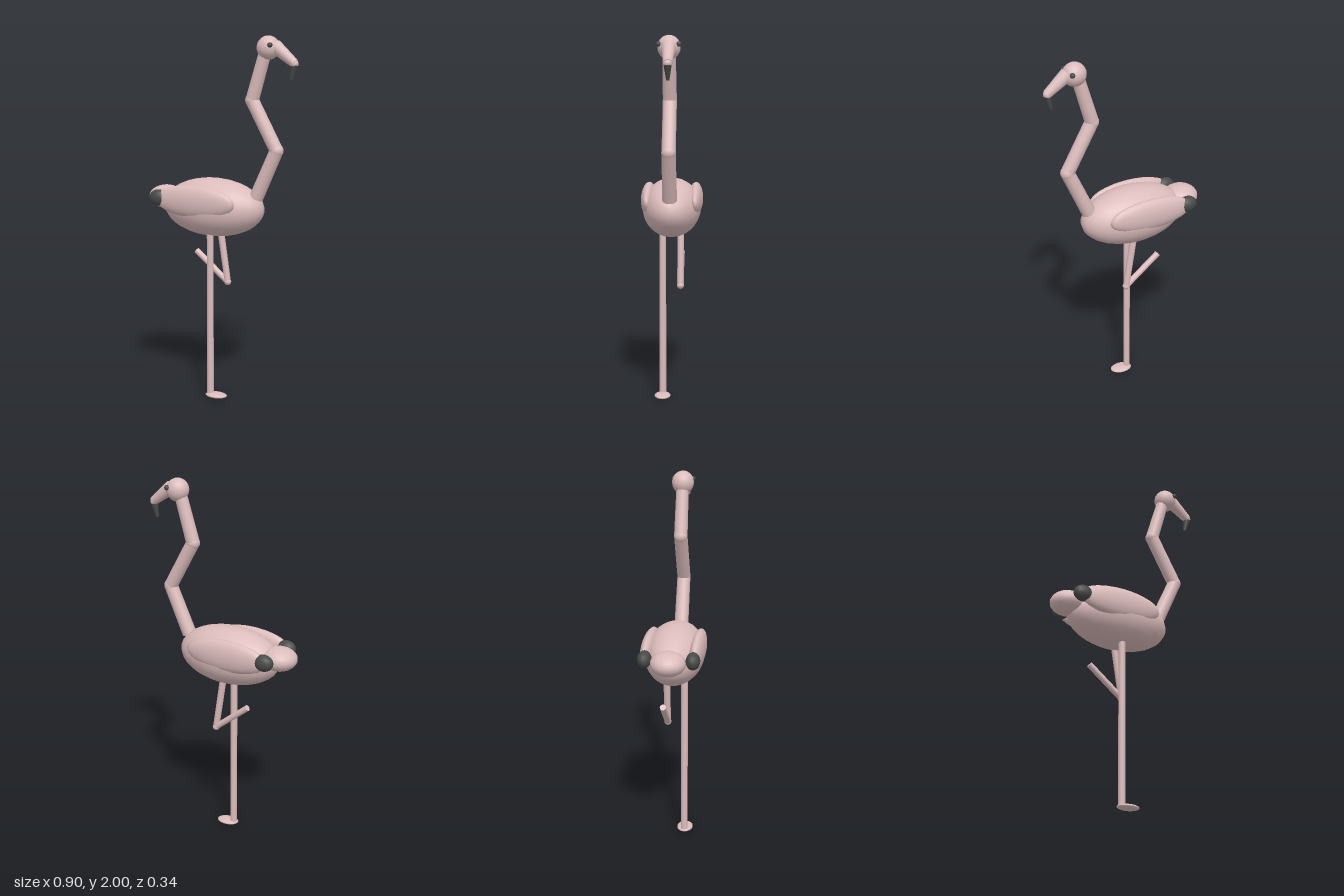
import * as THREE from 'three';

const pink = new THREE.MeshStandardMaterial({ color: 0xdcbcbc });
pink.name = 'palePink';
const dark = new THREE.MeshStandardMaterial({ color: 0x484a48 });
dark.name = 'charcoal';

export function createModel() {
  const bird = new THREE.Group();
  bird.name = 'wadingBird';

  function add(name, geometry, material) {
    const mesh = new THREE.Mesh(geometry, material);
    mesh.name = name;
    bird.add(mesh);
    return mesh;
  }

  // Ellipsoid with its own centre and radii
  function ellipsoid(name, center, radii, material = pink, segments = 20) {
    const geometry = new THREE.SphereGeometry(1, segments, Math.round(segments * 0.7));
    geometry.scale(...radii);
    return add(name, geometry.translate(...center), material);
  }

  // Tapered limb from point a to point b
  function limb(name, a, b, ra, rb, material = pink) {
    const start = new THREE.Vector3(...a);
    const end = new THREE.Vector3(...b);
    const dir = end.clone().sub(start);
    const mesh = add(name, new THREE.CylinderGeometry(rb, ra, dir.length(), 14), material);
    mesh.position.copy(start).lerp(end, 0.5);
    mesh.quaternion.setFromUnitVectors(new THREE.Vector3(0, 1, 0), dir.normalize());
    return mesh;
  }

  // Body and tail
  ellipsoid('body', [-0.05, 1.07, 0], [0.3, 0.16, 0.16], pink, 24);
  ellipsoid('tail', [-0.35, 1.105, 0], [0.1, 0.065, 0.094]);

  // Wings with dark tips, and eyes
  for (const side of [1, -1]) {
    const label = side > 0 ? 'front' : 'back';
    ellipsoid(label + 'Wing', [-0.1, 1.112, 0.13 * side], [0.245, 0.088, 0.041]);
    ellipsoid(label + 'WingTip', [-0.325, 1.117, 0.127 * side], [0.056, 0.046, 0.038], dark, 14);
    ellipsoid(label + 'Eye', [0.31, 1.953, 0.052 * side], [0.014, 0.014, 0.014], dark, 12);
  }

  // Bent neck
  const neck = [[0.21, 1.14, 0], [0.328, 1.4, 0], [0.183, 1.66, 0], [0.26, 1.92, 0]];
  const neckRadii = [0.039, 0.037, 0.037, 0.034];
  for (let i = 0; i < 3; i++) {
    limb('neckSegment' + (i + 1), neck[i], neck[i + 1], neckRadii[i], neckRadii[i + 1]);
    if (i > 0) ellipsoid('neckJoint' + i, neck[i], [0.038, 0.038, 0.038], pink, 16);
  }

  // Head and hooked beak
  ellipsoid('head', [0.276, 1.937, 0], [0.063, 0.063, 0.06]);
  limb('beak', [0.315, 1.945, 0], [0.428, 1.858, 0], 0.038, 0.024);
  ellipsoid('beakBend', [0.426, 1.857, 0], [0.022, 0.022, 0.024], pink, 14);
  limb('beakTip', [0.427, 1.852, 0], [0.408, 1.772, 0], 0.021, 0.008, dark);

  // Standing leg and foot
  limb('standingLeg', [-0.045, 0.015, 0.05], [-0.045, 0.97, 0.05], 0.019, 0.019);
  ellipsoid('foot', [-0.008, 0.014, 0.05], [0.064, 0.014, 0.045], pink, 16);

  // Raised, folded leg
  limb('raisedThigh', [-0.04, 0.97, -0.05], [0.01, 0.645, -0.05], 0.019, 0.018);
  ellipsoid('raisedKnee', [0.01, 0.645, -0.05], [0.02, 0.02, 0.02], pink, 14);
  limb('raisedShin', [0.01, 0.645, -0.05], [-0.188, 0.802, -0.05], 0.017, 0.017);

  return bird;
}
